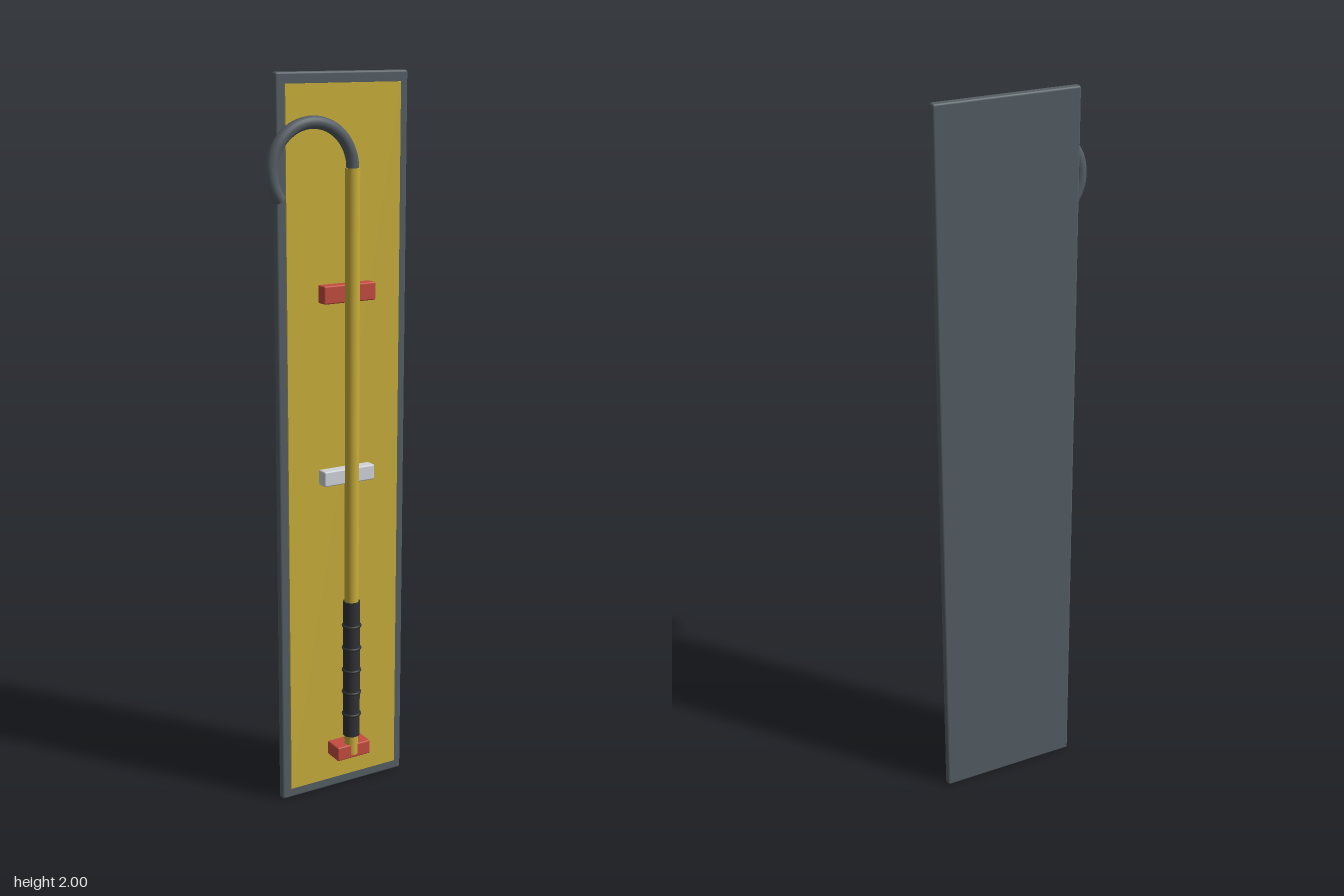
import * as THREE from 'three';
import { RoundedBoxGeometry } from 'three/addons/geometries/RoundedBoxGeometry.js';

const mat = (name, color) => new THREE.MeshStandardMaterial({ name, color });

export function createModel() {
  const group = new THREE.Group();
  const grey = mat('slate grey', 0x555e64);
  const yellow = mat('yellow', 0xc9ae3b);
  const red = mat('red', 0xc44c40);
  const white = mat('light grey', 0xd0d4d9);
  const black = mat('black rubber', 0x303235);

  const add = (name, geometry, material, x, y, z) => {
    const mesh = new THREE.Mesh(geometry, material);
    mesh.name = name;
    mesh.position.set(x, y, z);
    group.add(mesh);
    return mesh;
  };
  // Rounded block given by its extents
  const block = (name, material, [x0, x1], [y0, y1], [z0, z1], r) =>
    add(name, new RoundedBoxGeometry(x1 - x0, y1 - y0, z1 - z0, 3, r), material,
      (x0 + x1) / 2, (y0 + y1) / 2, (z0 + z1) / 2);

  // Backing board with its painted face
  block('backBoard', grey, [-0.17, 0.223], [0, 2], [-0.049, -0.026], 0.006);
  add('facePanel', new THREE.BoxGeometry(0.343, 1.942, 0.006), yellow, 0.027, 1, -0.025);

  // Brackets
  block('upperClip', red, [-0.052, 0.105], [1.411, 1.459], [-0.023, 0.011], 0.004);
  block('middleClip', white, [-0.052, 0.105], [0.915, 0.957], [-0.023, 0.011], 0.004);
  block('bottomRest', red, [-0.026, 0.08], [0.108, 0.149], [-0.023, 0.036], 0.004);

  // Pole
  const px = 0.027, pz = 0.02;
  const cylinder = (name, material, r, y0, y1) =>
    add(name, new THREE.CylinderGeometry(r, r, y1 - y0, 32), material, px, (y0 + y1) / 2, pz);
  cylinder('pole', yellow, 0.0195, 0.118, 1.76);

  // Ribbed grip
  cylinder('grip', black, 0.0235, 0.175, 0.578);
  for (let i = 0; i < 5; i++) {
    const ring = add('gripRing', new THREE.TorusGeometry(0.0235, 0.004, 8, 32), black,
      px, 0.24 + i * 0.0665, pz);
    ring.rotation.x = Math.PI / 2;
  }

  // Hook: an open arc with capped ends
  const R = 0.118, r = 0.0165, sweep = THREE.MathUtils.degToRad(217);
  const hook = new THREE.Group();
  hook.name = 'hook';
  hook.position.set(px - R, 1.76, pz);
  hook.add(new THREE.Mesh(new THREE.TorusGeometry(R, r, 20, 64, sweep), grey));
  for (const a of [0, sweep]) {
    const cap = new THREE.Mesh(new THREE.CircleGeometry(r, 20), grey);
    cap.position.set(R * Math.cos(a), R * Math.sin(a), 0);
    const side = a === 0 ? -1 : 1;
    cap.lookAt(cap.position.x - side * Math.sin(a), cap.position.y + side * Math.cos(a), 0);
    cap.name = 'hookEnd';
    hook.add(cap);
  }
  hook.children[0].name = 'hookArc';
  group.add(hook);

  return group;
}
